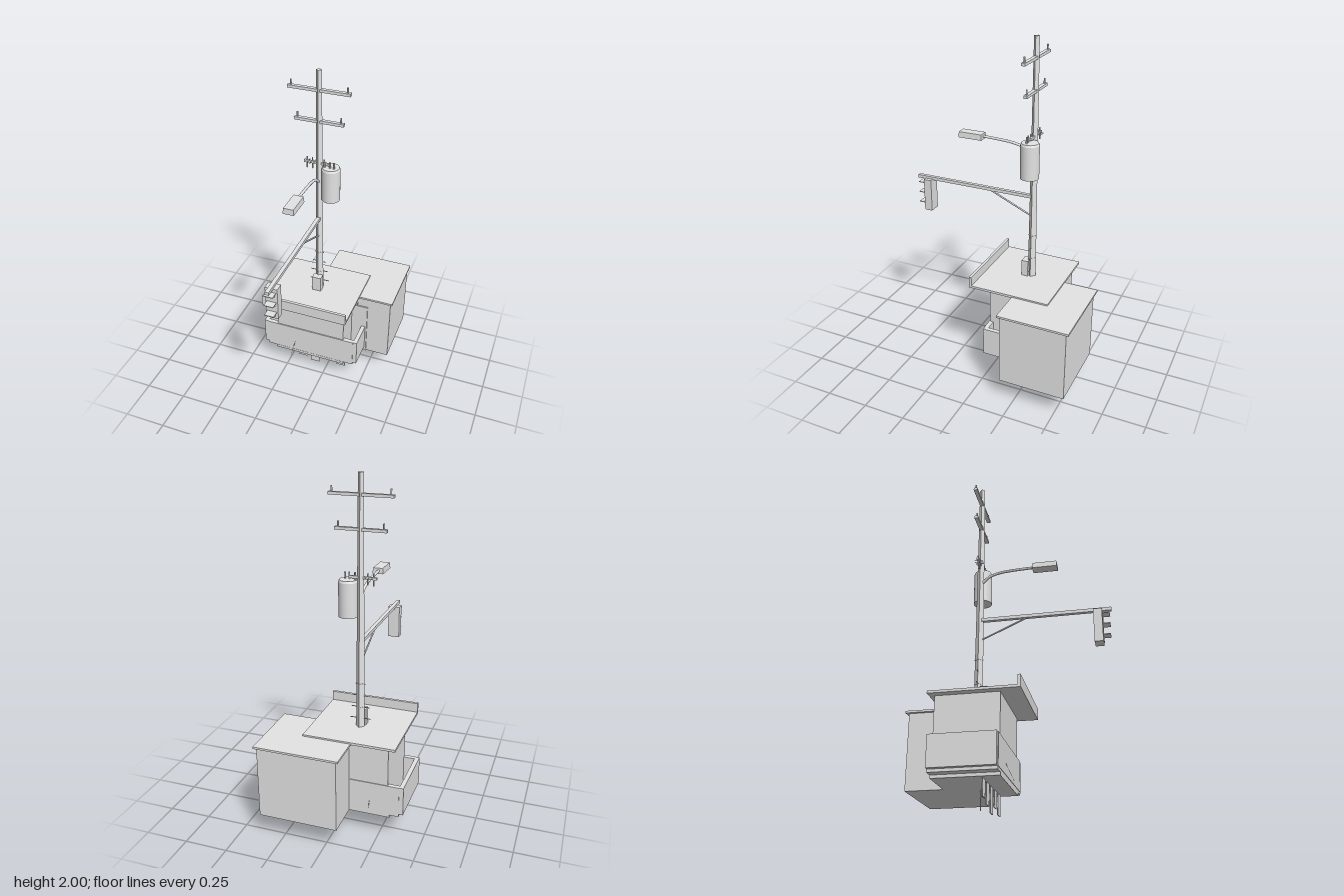
import * as THREE from 'three';

export function createModel() {
  const root = new THREE.Group();
  root.name = 'streetCorner';
  const grey = new THREE.MeshStandardMaterial({ color: 0xe3e3e3 });
  grey.name = 'pale grey';

  const add = (name, geo, parent) => {
    const m = new THREE.Mesh(geo, grey);
    m.name = name;
    parent.add(m);
    return m;
  };
  // box given by its limits on each axis
  const box = (name, x0, x1, y0, y1, z0, z1, parent) => {
    const m = add(name, new THREE.BoxGeometry(x1 - x0, y1 - y0, z1 - z0), parent);
    m.position.set((x0 + x1) / 2, (y0 + y1) / 2, (z0 + z1) / 2);
  };
  // round rod between two points
  const rod = (name, a, b, r, parent, sides = 8) => {
    const p = new THREE.Vector3(...a), q = new THREE.Vector3(...b);
    const d = q.clone().sub(p);
    const m = add(name, new THREE.CylinderGeometry(r, r, d.length(), sides), parent);
    m.position.copy(p).add(q).multiplyScalar(0.5);
    m.quaternion.setFromUnitVectors(new THREE.Vector3(0, 1, 0), d.normalize());
  };
  const group = (name) => {
    const g = new THREE.Group();
    g.name = name;
    root.add(g);
    return g;
  };

  // Main building with overhanging roof and front parapet
  const house = group('mainBuilding');
  box('walls', -0.305, 0.135, 0.137, 0.572, -0.348, 0, house);
  box('roofSlab', -0.35, 0.183, 0.572, 0.586, -0.376, 0.113, house);
  box('parapet', -0.35, 0.183, 0.586, 0.641, 0.097, 0.113, house);

  // Balcony wrapped round the building, open on top at both sides
  const balcony = group('balcony');
  box('frontWall', -0.37, 0.2, 0.17, 0.34, -0.02, 0.006, balcony);
  box('backWall', -0.37, 0.2, 0.17, 0.34, -0.352, -0.327, balcony);
  box('rightWall', -0.395, -0.37, 0.17, 0.34, -0.35, 0.003, balcony);
  box('leftWall', 0.2, 0.225, 0.17, 0.34, -0.35, 0.003, balcony);
  box('floor', -0.37, 0.2, 0.154, 0.171, -0.351, 0.004, balcony);
  box('footing', -0.317, 0.14, 0.137, 0.155, -0.35, 0.005, balcony);

  // Rear building
  const annex = group('rearBuilding');
  box('walls', -0.08, 0.378, 0.137, 0.565, -0.56, -0.17, annex);
  box('roofSlab', -0.097, 0.391, 0.565, 0.577, -0.576, -0.158, annex);
  box('door', 0.135, 0.235, 0.137, 0.499, -0.17, -0.162, annex);
  box('doorLamp', 0.135, 0.17, 0.507, 0.524, -0.17, -0.157, annex);

  // Thin boards and wires hanging on the building
  const boards = group('hangingBoards');
  [[-0.262, 0.047], [-0.173, 0.025], [-0.087, 0], [0.002, 0.047], [0.091, 0.025]].forEach(([x, y]) =>
    box('hangingBoard', x - 0.03, x + 0.03, y, 0.14, -0.092, -0.088, boards));
  rod('hangerRod', [-0.03, 0.03, -0.16], [-0.03, 0.14, -0.16], 0.003, boards, 6);
  rod('hangerBrace', [-0.03, 0.092, -0.165], [-0.03, 0.137, -0.11], 0.002, boards, 6);
  rod('frontWire', [-0.185, 0.23, 0.005], [-0.2, 0.135, 0.05], 0.001, boards, 5);
  rod('backWire', [-0.2, 0.225, -0.35], [-0.205, 0.2, -0.385], 0.001, boards, 5);

  // Four-sided tapered pole with climbing pegs
  const px = -0.085, pz = -0.17;
  const pole = group('utilityPole');
  const taper = (name, r0, r1, h, y) => {
    const geo = new THREE.CylinderGeometry(r1, r0, h, 4).toNonIndexed();
    geo.computeVertexNormals();
    add(name, geo, pole).position.set(px, y, pz);
  };
  taper('shaft', 0.025, 0.016, 1.42, 1.29);
  [0.705, 0.85].forEach((y) => taper('band', 0.0255, 0.0255, 0.005, y));
  box('meterBox', px - 0.028, px + 0.028, 0.585, 0.684, -0.155, -0.115, pole);
  [[0.635, 0.06], [0.705, 0.053], [0.775, 0.041], [0.845, 0.028]].forEach(([y, w]) =>
    rod('climbingPeg', [px - w, y, pz], [px + w, y, pz], 0.0025, pole, 6));

  // Cross arms with end insulators
  [[1.888, 0.176], [1.711, 0.142]].forEach(([y, w]) => {
    box('crossArm', px - w, px + w, y - 0.008, y + 0.008, pz - 0.011, pz + 0.011, pole);
    for (const s of [-1, 1]) {
      const x = px + s * (w - 0.018);
      rod('insulator', [x, y, pz], [x, y + 0.037, pz], 0.005, pole);
    }
  });

  // Transformer drum with bevelled lid, bushings and a pin rack
  const drum = group('transformer');
  const dx = -0.016, dz = -0.172;
  const profile = [[0, 1.237], [0.053, 1.237], [0.053, 1.43], [0.048, 1.442], [0, 1.442]];
  // each profile segment is its own lathe so the edges stay sharp
  for (let i = 0; i < profile.length - 1; i++) {
    const pts = [profile[i], profile[i + 1]].map(([r, y]) => new THREE.Vector2(r, y));
    add('drumShell', new THREE.LatheGeometry(pts, 32), drum).position.set(dx, 0, dz);
  }
  [-0.034, -0.002, 0.021].forEach((o) =>
    rod('bushing', [dx + o, 1.44, dz + 0.012], [dx + o, 1.478, dz + 0.012], 0.005, drum));
  box('pinRack', -0.175, -0.02, 1.45, 1.464, pz - 0.006, pz + 0.006, drum);
  [-0.157, -0.125, -0.055].forEach((x) => rod('rackPin', [x, 1.417, pz], [x, 1.484, pz], 0.004, drum));
  [-0.15, -0.132, -0.114].forEach((x) =>
    rod('rackCrossPin', [x, 1.457, pz - 0.025], [x, 1.457, pz + 0.025], 0.002, drum, 6));

  // Street lamp on a curved arm
  const lamp = group('streetLamp');
  const curve = new THREE.CatmullRomCurve3(
    [[1.335, -0.165], [1.378, -0.115], [1.398, -0.05], [1.405, 0.02], [1.41, 0.15]]
      .map(([y, z]) => new THREE.Vector3(px, y, z)));
  add('lampArm', new THREE.TubeGeometry(curve, 20, 0.008, 8), lamp);
  const head = new THREE.BoxGeometry(0.063, 0.033, 0.144);
  const hp = head.attributes.position;
  for (let i = 0; i < hp.count; i++) {
    if (hp.getY(i) > 0) { // narrow the top edge
      hp.setX(i, hp.getX(i) * 0.9);
      hp.setZ(i, hp.getZ(i) * 0.97);
    }
  }
  head.computeVertexNormals();
  add('lampHead', head, lamp).position.set(px + 0.003, 1.41, 0.211);

  // Traffic signal on a long arm with a brace
  const signal = group('trafficSignal');
  box('signalArm', px - 0.011, px + 0.011, 1.086, 1.105, -0.17, 0.576, signal);
  rod('armBrace', [px, 0.975, -0.155], [px, 1.09, 0.105], 0.005, signal);
  box('signalBox', px - 0.035, px + 0.035, 0.893, 1.09, 0.477, 0.525, signal);
  [1.065, 1.001, 0.936].forEach((y) => {
    box('visor', px - 0.027, px + 0.027, y - 0.002, y + 0.002, 0.523, 0.566, signal);
    rod('lens', [px, y - 0.024, 0.522], [px, y - 0.024, 0.528], 0.018, signal, 20);
  });

  return root;
}
